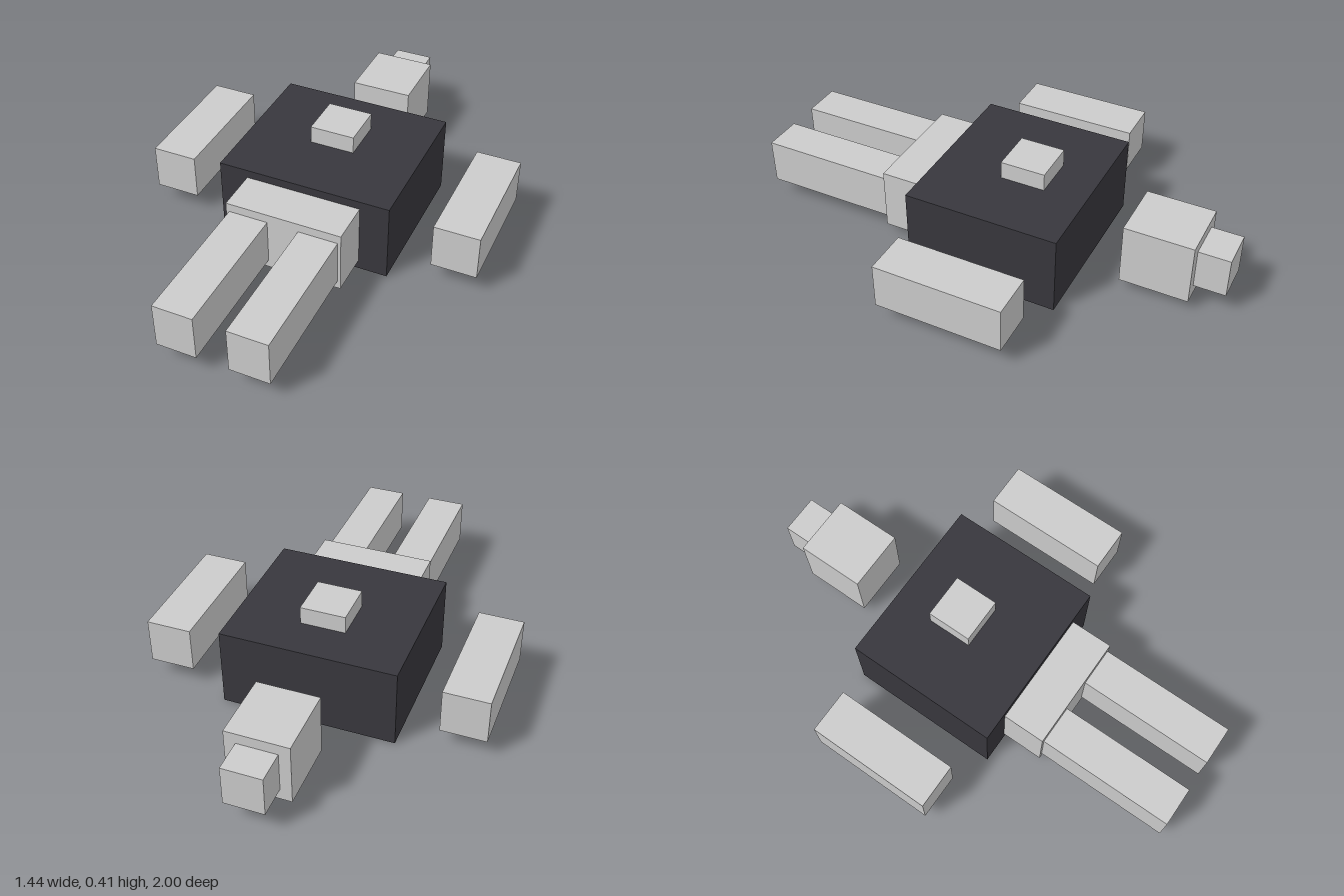
import * as THREE from 'three';

const grey = new THREE.MeshStandardMaterial({ color: 0xcccccc, flatShading: true });
const dark = new THREE.MeshStandardMaterial({ color: 0x38373d, flatShading: true });

// Box spanning the given [min, max] range on each axis
function block(name, [x0, x1], [y0, y1], [z0, z1], material = grey) {
  const mesh = new THREE.Mesh(new THREE.BoxGeometry(x1 - x0, y1 - y0, z1 - z0), material);
  mesh.position.set((x0 + x1) / 2, (y0 + y1) / 2, (z0 + z1) / 2);
  mesh.name = name;
  return mesh;
}

export function createModel() {
  const model = new THREE.Group();
  model.name = 'blockFigure';

  // Body lying on its back, feet towards the front
  model.add(
    block('torso', [-0.367, 0.367], [0, 0.34], [-0.405, 0.245], dark),
    block('chestPlate', [-0.095, 0.095], [0.34, 0.415], [-0.228, -0.038]),
    block('hips', [-0.245, 0.245], [0.04, 0.305], [0.245, 0.425]),
    block('head', [-0.13, 0.13], [0.04, 0.305], [-0.868, -0.58]),
    block('headTop', [-0.083, 0.083], [0.088, 0.26], [-1, -0.868]),
  );

  // Mirrored limbs
  for (const [side, s] of [['left', 1], ['right', -1]]) {
    const span = (a, b) => (s > 0 ? [a, b] : [-b, -a]);
    model.add(
      block(side + 'Arm', span(0.528, 0.718), [0.075, 0.268], [-0.352, 0.185]),
      block(side + 'Leg', span(0.066, 0.232), [0.075, 0.268], [0.425, 1]),
    );
  }
  return model;
}
